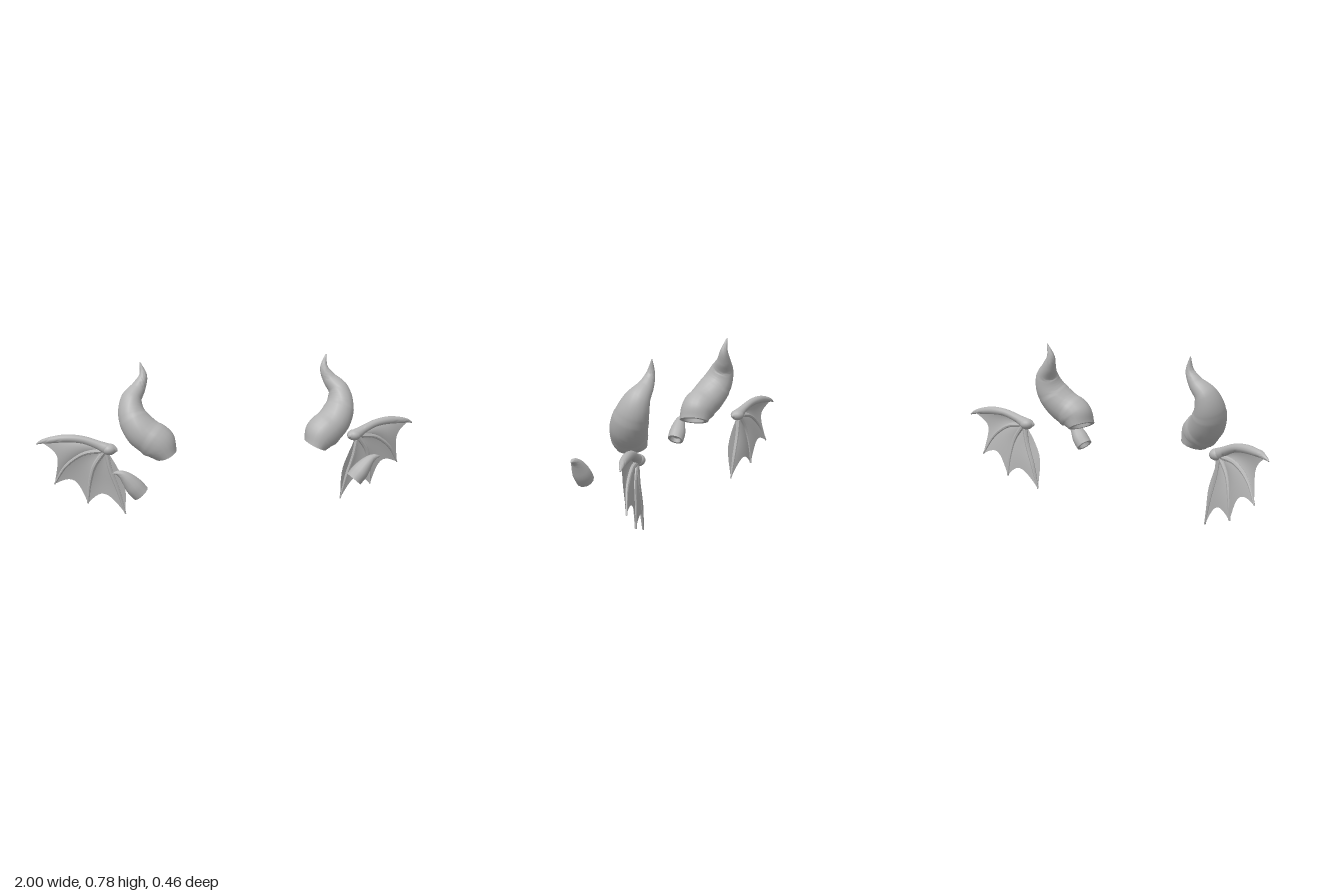
import * as THREE from 'three';
import { toCreasedNormals } from 'three/addons/utils/BufferGeometryUtils.js';

const grey = new THREE.MeshStandardMaterial({ color: 0xb4b4b4 });
grey.name = 'stone grey';
const greyThin = grey.clone();
greyThin.side = THREE.DoubleSide;

// Index list for a grid of rows x cols quads
function gridIndex(rows, cols) {
  const index = [];
  for (let i = 0; i < rows; i++) {
    for (let j = 0; j < cols; j++) {
      const a = i * (cols + 1) + j, b = a + 1, c = a + cols + 1, d = c + 1;
      index.push(a, b, c, b, d, c);
    }
  }
  return index;
}

function gridGeometry(positions, rows, cols) {
  const geo = new THREE.BufferGeometry();
  geo.setAttribute('position', new THREE.Float32BufferAttribute(positions, 3));
  geo.setIndex(gridIndex(rows, cols));
  return geo;
}

const curveOf = (pts, side) =>
  new THREE.CatmullRomCurve3(pts.map(([x, y, z]) => new THREE.Vector3(x * side, y, z)));

// Swept body; each section is [x, y, z, radius in plane, radius across].
// base, if given, is the direction the first section faces along.
function loft(sections, side, { steps = 24, sides = 16, hollow = 0, ridge = () => 1, base } = {}) {
  const path = curveOf(sections, side);
  const radii = new THREE.CatmullRomCurve3(
    sections.map(([, , , a, b = a]) => new THREE.Vector3(a, b, 0)));
  const start = base ? new THREE.Vector3(base[0] * side, base[1], base[2]).normalize() : path.getTangent(0);
  const rings = [];
  const addRing = (u, scale, depth = 0) => {
    const T = start.clone().lerp(path.getTangent(u), Math.min(1, u * (sections.length - 1))).normalize();
    const N = new THREE.Vector3(0, 0, 1).cross(T).normalize();
    const B = new THREE.Vector3().crossVectors(T, N);
    const c = path.getPoint(u).addScaledVector(T, depth);
    const r = radii.getPoint(u);
    for (let j = 0; j <= sides; j++) {
      const a = (j / sides) * Math.PI * 2;
      const p = c.clone()
        .addScaledVector(N, Math.cos(a) * r.x * scale)
        .addScaledVector(B, Math.sin(a) * r.y * scale);
      rings.push(p.x, p.y, p.z);
    }
  };
  // Closed or recessed base
  addRing(0, 0, hollow);
  if (hollow) {
    addRing(0, 0.55, hollow);
    addRing(0, 0.72);
  }
  for (let i = 0; i <= steps; i++) addRing(i / steps, ridge(i / steps));
  addRing(1, 0);
  const rows = rings.length / 3 / (sides + 1) - 1;
  return toCreasedNormals(gridGeometry(rings, rows, sides), 0.75);
}

// Membrane between two ribs with a scalloped free edge and a slight billow
function membrane(ribA, ribB, side, scallop, billow) {
  const A = curveOf(ribA, side), B = curveOf(ribB, side);
  const rows = 10, cols = 10, pos = [];
  for (let i = 0; i <= rows; i++) {
    for (let j = 0; j <= cols; j++) {
      const t = j / cols, arch = 4 * t * (1 - t);
      const u = (i / rows) * (1 - scallop * arch);
      const p = A.getPoint(u).lerp(B.getPoint(u), t);
      pos.push(p.x, p.y, p.z - billow * arch * Math.sin(Math.PI * u * 0.8));
    }
  }
  const geo = gridGeometry(pos, rows, cols);
  geo.computeVertexNormals();
  return geo;
}

// Curled horn, thick hollow base to fine tip
const horn = [
  [0.385, 0.347, 0.012, 0.06, 0.079], [0.423, 0.402, 0.006, 0.088, 0.087],
  [0.495, 0.46, -0.024, 0.084, 0.09], [0.537, 0.535, -0.062, 0.07, 0.082],
  [0.535, 0.605, -0.09, 0.052, 0.062], [0.495, 0.66, -0.113, 0.036, 0.038],
  [0.469, 0.715, -0.124, 0.021, 0.021], [0.481, 0.783, -0.136, 0.002, 0.002],
];
// Overlapping growth bands over the lower part
const bands = u => (u < 0.6 ? 0.985 + 0.035 * ((u * 5) % 1) : 1);

// Small hooked spike
const spike = [
  [0.537, 0.203, 0.184, 0.043, 0.044], [0.564, 0.234, 0.184, 0.044, 0.045],
  [0.597, 0.276, 0.186, 0.034, 0.035], [0.624, 0.302, 0.186, 0.022, 0.024],
  [0.648, 0.313, 0.186, 0.012, 0.014], [0.672, 0.312, 0.186, 0.002, 0.002],
];

// Wing arm and ribs, all spreading from the wrist
const arm = [
  [0.606, 0.343, -0.122, 0.006], [0.622, 0.346, -0.128, 0.02], [0.66, 0.352, -0.14, 0.028],
  [0.70, 0.37, -0.15, 0.022], [0.77, 0.395, -0.168, 0.02], [0.85, 0.403, -0.186, 0.021],
  [0.93, 0.395, -0.203, 0.017], [0.975, 0.385, -0.217, 0.01], [1.0, 0.373, -0.224, 0.003],
];
const ribs = [
  [[0.67, 0.34, -0.142, 0.014], [0.77, 0.325, -0.164, 0.011], [0.86, 0.26, -0.186, 0.009], [0.917, 0.163, -0.212, 0.004]],
  [[0.67, 0.335, -0.142, 0.014], [0.72, 0.26, -0.156, 0.012], [0.745, 0.16, -0.172, 0.009], [0.755, 0.06, -0.18, 0.005]],
  [[0.66, 0.335, -0.14, 0.014], [0.642, 0.24, -0.139, 0.012], [0.605, 0.13, -0.136, 0.011], [0.572, 0.005, -0.131, 0.004]],
];
const leadingEdge = [[0.67, 0.35, -0.142], [0.78, 0.39, -0.17], [0.88, 0.395, -0.19], [0.97, 0.38, -0.214]];
const innerEdge = [[0.645, 0.32, -0.13], [0.607, 0.25, -0.117], [0.574, 0.165, -0.112], [0.572, 0.005, -0.131]];

function createSide(side, label) {
  const group = new THREE.Group();
  group.name = label + 'Side';
  const add = (parent, name, geo, mat = grey) => {
    const mesh = new THREE.Mesh(geo, mat);
    mesh.name = name;
    parent.add(mesh);
    return mesh;
  };

  add(group, label + 'Horn',
    loft(horn, side, { steps: 56, sides: 20, hollow: 0.04, ridge: bands, base: [0.42, 0.9, 0.05] }));
  add(group, label + 'Spike', loft(spike, side, { steps: 16, sides: 12, hollow: 0.02 }));

  const wing = new THREE.Group();
  wing.name = label + 'Wing';
  group.add(wing);
  add(wing, 'wingArm', loft(arm, side, { steps: 32, sides: 12 }));

  // Rounded wrist joint
  const knob = add(wing, 'wingJoint', new THREE.SphereGeometry(0.034, 16, 12));
  knob.scale.set(1.1, 0.85, 1.05);
  knob.position.set(0.645 * side, 0.346, -0.138);

  ribs.forEach((rib, i) => add(wing, 'wingRib' + (i + 1), loft(rib, side, { steps: 14, sides: 8 })));

  // Skin panels from leading edge round to the inner edge
  const edges = [leadingEdge, ...ribs, innerEdge];
  const scallops = [0.2, 0.22, 0.22, 0];
  const billows = [-0.012, 0.008, 0.012, 0];
  scallops.forEach((k, i) => add(wing, 'wingMembrane' + (i + 1),
    membrane(edges[i], edges[i + 1], side, k, billows[i]), greyThin));
  return group;
}

export function createModel() {
  const model = new THREE.Group();
  model.name = 'hornsAndWings';
  model.add(createSide(1, 'left'), createSide(-1, 'right'));
  return model;
}
